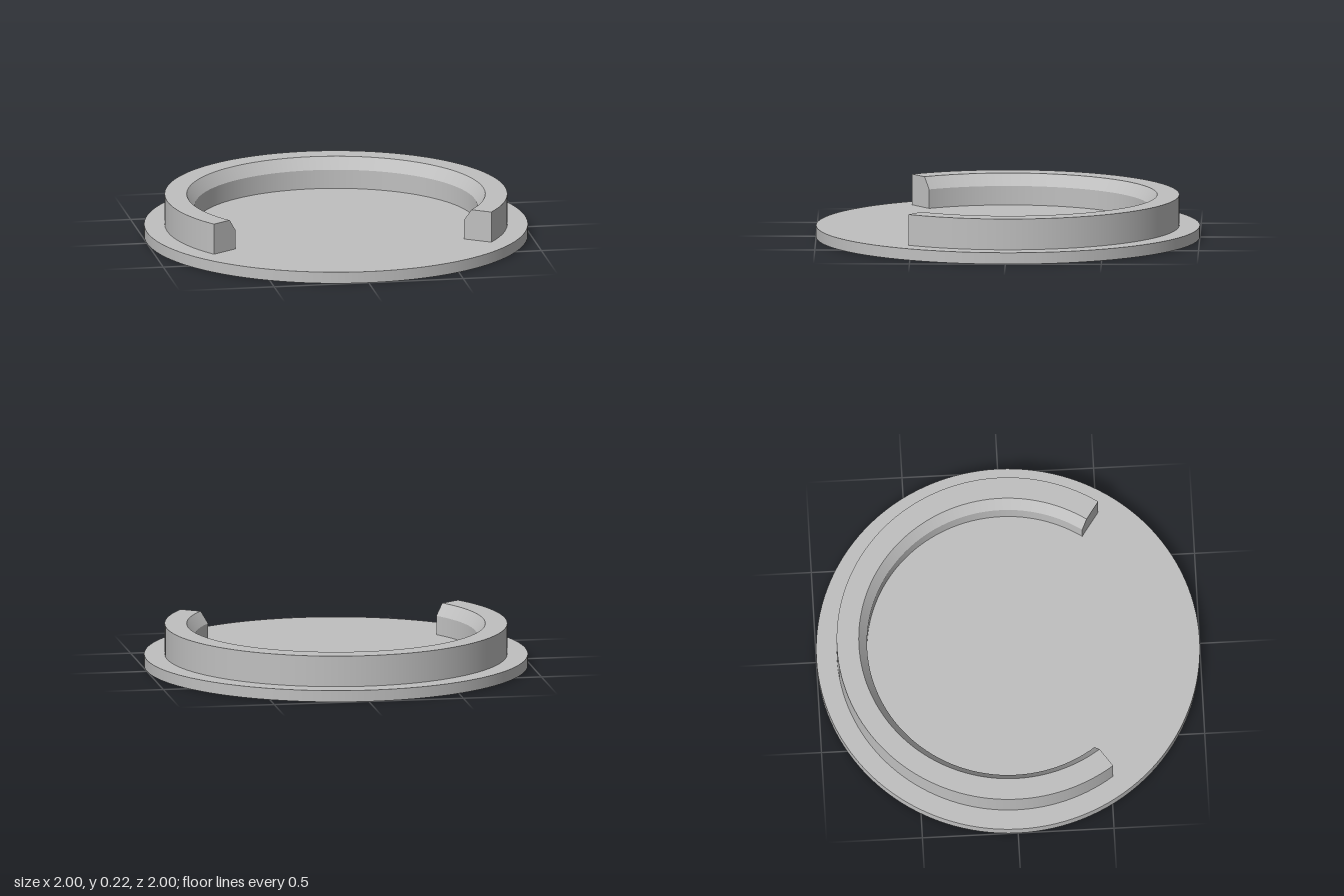
import * as THREE from 'three';
import { mergeGeometries } from 'three/addons/utils/BufferGeometryUtils.js';

const BASE_HEIGHT = 0.06;
const RIM_TOP = 0.222;
const GAP = THREE.MathUtils.degToRad(55.2); // half the opening, measured from the front

// Rim cross-section as [radius, y], with a chamfer on the upper inner edge
const PROFILE = [
  [0.735, BASE_HEIGHT],
  [0.893, BASE_HEIGHT],
  [0.893, RIM_TOP],
  [0.778, RIM_TOP],
  [0.735, 0.16],
];

// Flat end of the rim; side is 1 for the left end and -1 for the right end
function endCap(side) {
  const shape = new THREE.Shape(PROFILE.map(([r, y]) => new THREE.Vector2(side * r, y)));
  return new THREE.ShapeGeometry(shape).rotateY(side * (GAP - Math.PI / 2));
}

function rimGeometry() {
  // One lathe band per profile edge keeps the edges sharp
  const bands = PROFILE.map((point, i) => {
    const next = PROFILE[(i + 1) % PROFILE.length];
    const edge = [point, next].map(([r, y]) => new THREE.Vector2(r, y));
    return new THREE.LatheGeometry(edge, 96, GAP, 2 * (Math.PI - GAP));
  });
  return mergeGeometries([...bands, endCap(1), endCap(-1)]);
}

export function createModel() {
  const model = new THREE.Group();
  model.name = 'discWithOpenRim';
  const grey = new THREE.MeshStandardMaterial({ color: 0xc0c0c0 });
  grey.name = 'light grey';

  // Round base plate
  const base = new THREE.Mesh(new THREE.CylinderGeometry(1, 1, BASE_HEIGHT, 128), grey);
  base.name = 'basePlate';
  base.position.y = BASE_HEIGHT / 2;

  // Raised rim, open at the front
  const rim = new THREE.Mesh(rimGeometry(), grey);
  rim.name = 'openRim';

  model.add(base, rim);
  return model;
}
